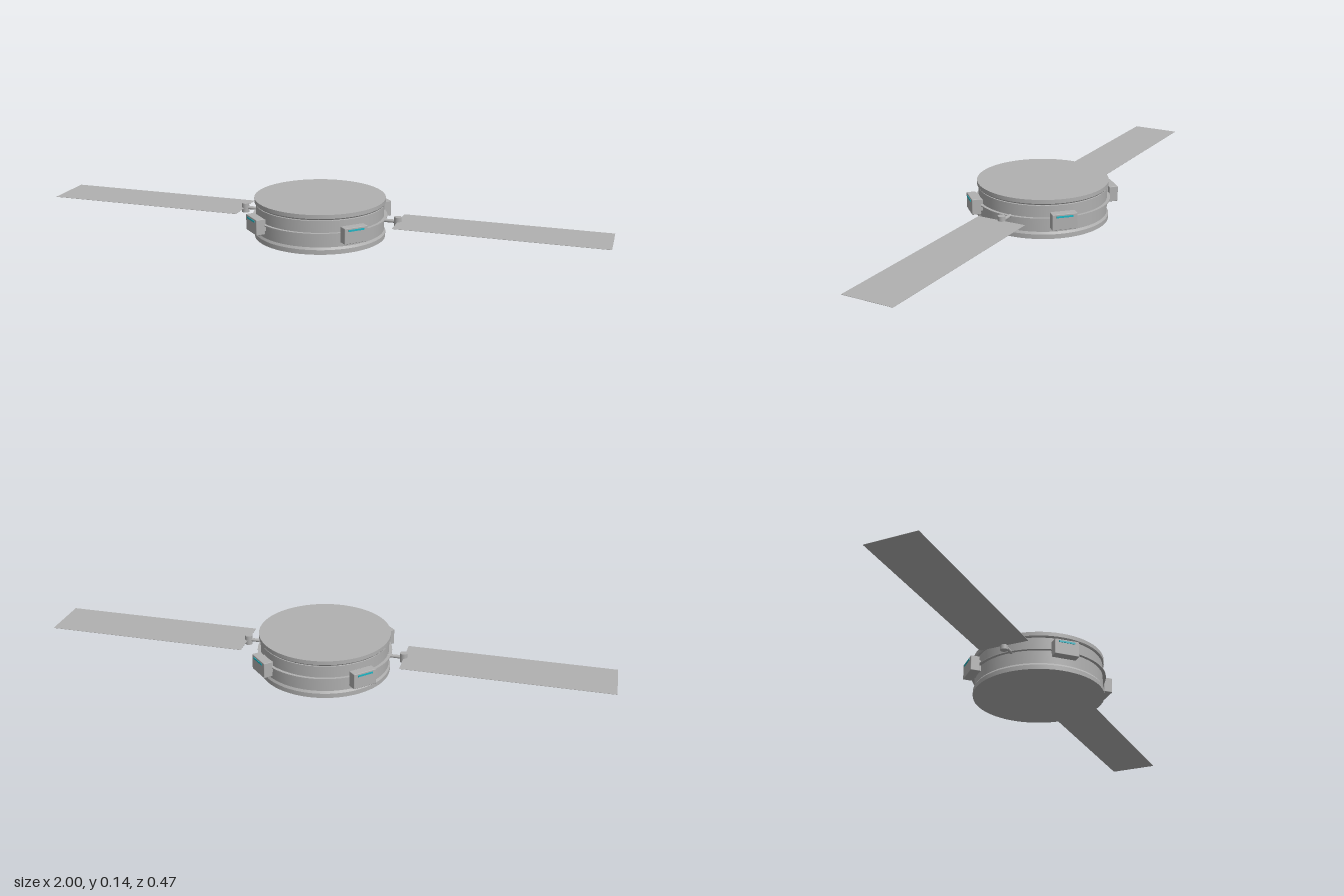
import * as THREE from 'three';
import { RoundedBoxGeometry } from 'three/addons/geometries/RoundedBoxGeometry.js';
import { toCreasedNormals } from 'three/addons/utils/BufferGeometryUtils.js';

const MID = 0.072; // height of the equator

export function createModel() {
  const grey = new THREE.MeshStandardMaterial({ color: 0xb0b0b0 });
  grey.name = 'hull grey';
  const cyan = new THREE.MeshStandardMaterial({ color: 0x20b4c2 });
  cyan.name = 'cyan light';

  const model = new THREE.Group();
  model.name = 'satellite';
  const add = (name, geometry, material, parent, x = 0, y = 0, z = 0) => {
    const mesh = new THREE.Mesh(geometry, material);
    mesh.name = name;
    mesh.position.set(x, y, z);
    parent.add(mesh);
    return mesh;
  };

  // Drum body with a flared rim at top and bottom
  const profile = [
    [0, 0], [0.23, 0], [0.23, 0.016], [0.225, 0.024],
    [0.225, 0.116], [0.222, 0.117], [0.222, 0.12], [0.227, 0.12],
    [0.23, 0.124], [0.23, 0.138], [0, 0.138],
  ].map(([r, y]) => new THREE.Vector2(r, y));
  add('body', toCreasedNormals(new THREE.LatheGeometry(profile, 64), 0.4), grey, model);

  // Thin plate round the equator
  add('equatorRing', new THREE.CylinderGeometry(0.236, 0.236, 0.004, 64), grey, model, 0, MID + 0.001, 0);

  // Four pods on the diagonals, each with a light strip
  for (let i = 0; i < 4; i++) {
    const pod = new THREE.Group();
    pod.name = 'sensorPod';
    pod.rotation.y = Math.PI / 4 + i * Math.PI / 2;
    add('podCase', new RoundedBoxGeometry(0.087, 0.055, 0.032, 1, 0.002), grey, pod, 0, 0.0705, 0.248);
    add('podMount', new THREE.BoxGeometry(0.06, 0.04, 0.02), grey, pod, 0, 0.0705, 0.225);
    add('podLight', new THREE.BoxGeometry(0.058, 0.006, 0.003), cyan, pod, 0, 0.089, 0.2645);
    model.add(pod);
  }

  // Arm, hinge and solar panel on each side
  for (const side of [1, -1]) {
    const wing = new THREE.Group();
    wing.name = side > 0 ? 'leftWing' : 'rightWing';
    const arm = add('arm', new THREE.CylinderGeometry(0.006, 0.006, 0.06, 16), grey, wing, side * 0.25, MID, 0);
    arm.rotation.z = Math.PI / 2;
    add('hinge', new THREE.CylinderGeometry(0.013, 0.013, 0.033, 24), grey, wing, side * 0.281, MID, 0);
    add('solarPanel', new THREE.BoxGeometry(0.718, 0.001, 0.178), grey, wing, side * 0.641, MID, 0);
    model.add(wing);
  }

  return model;
}
